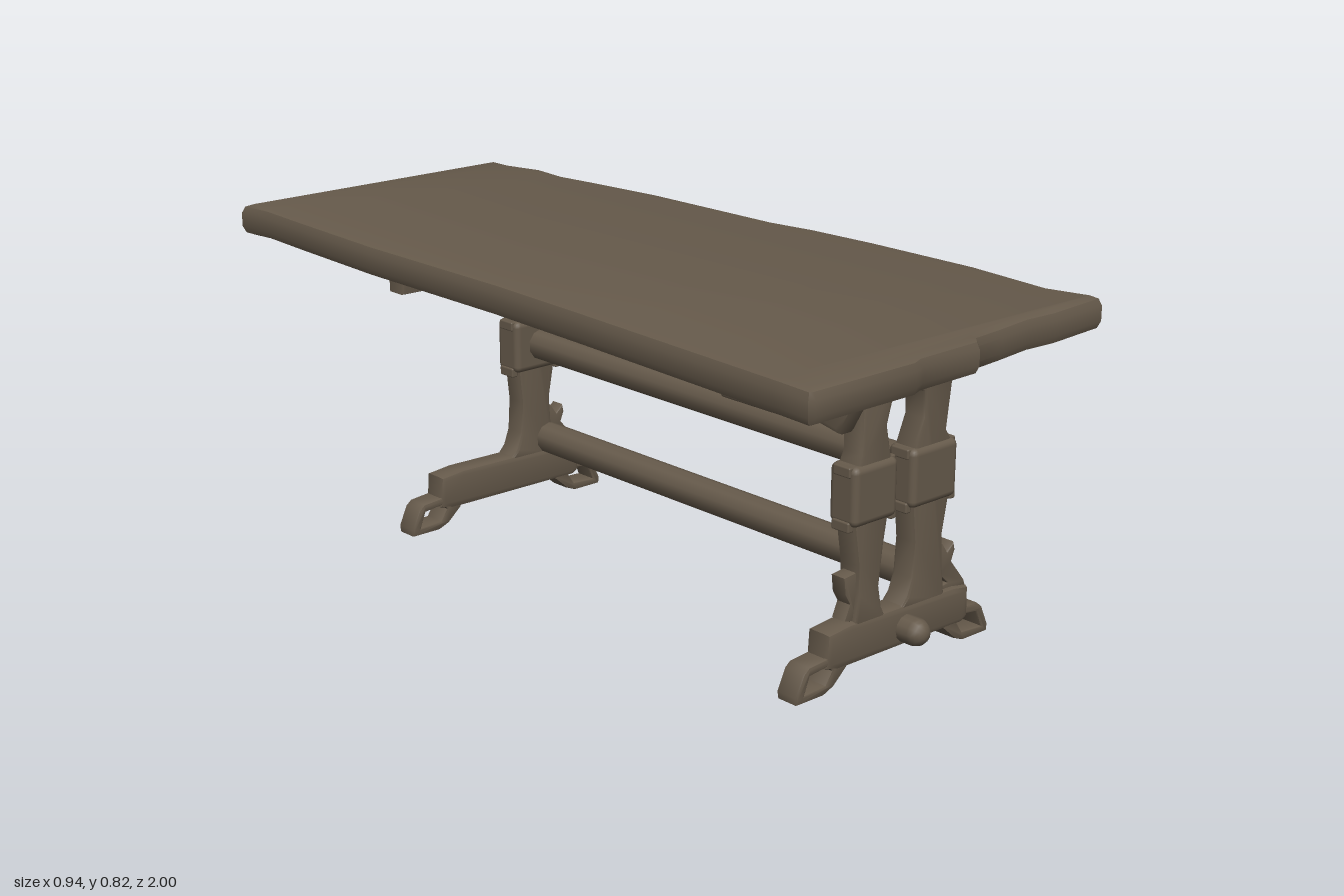
import * as THREE from 'three';
import { toCreasedNormals } from 'three/addons/utils/BufferGeometryUtils.js';
import { RoundedBoxGeometry } from 'three/addons/geometries/RoundedBoxGeometry.js';

const wood = new THREE.MeshStandardMaterial({ color: 0x665a4b });
wood.name = 'weathered wood';

function add(parent, name, geometry, x = 0, y = 0, z = 0) {
  const mesh = new THREE.Mesh(geometry, wood);
  mesh.name = name;
  mesh.position.set(x, y, z);
  parent.add(mesh);
  return mesh;
}

const toPoints = (pts) => pts.map(([x, y]) => new THREE.Vector2(x, y));

// Plank cut from an outline, with softened edges, centred on z = 0
function plank(outline, depth, bevel, holes = []) {
  const shape = new THREE.Shape(toPoints(outline));
  for (const h of holes) shape.holes.push(new THREE.Path(toPoints(h)));
  const g = new THREE.ExtrudeGeometry(shape, {
    depth: depth - 2 * bevel, bevelEnabled: true, bevelThickness: bevel,
    bevelSize: bevel, bevelOffset: -bevel, bevelSegments: 2,
  });
  g.translate(0, 0, bevel - depth / 2);
  return toCreasedNormals(g, 0.7);
}

const mirrorX = (pts, cx) => pts.map(([x, y]) => [2 * cx - x, y]).reverse();

// Front view outlines of the trestle parts
const slimLeg = [
  [-0.02, 0.12], [0.085, 0.12], [0.065, 0.16], [0.055, 0.21], [0.065, 0.3], [0.075, 0.36],
  [0.08, 0.5], [0.065, 0.57], [0.085, 0.64], [0.09, 0.7], [-0.01, 0.7], [-0.01, 0.52],
  [-0.02, 0.5], [-0.025, 0.36], [-0.01, 0.27], [-0.01, 0.2],
];
const wideLeg = [
  [0.11, 0.12], [0.27, 0.12], [0.26, 0.2], [0.255, 0.28], [0.27, 0.36], [0.275, 0.49],
  [0.255, 0.52], [0.27, 0.64], [0.28, 0.7], [0.14, 0.7], [0.155, 0.65], [0.178, 0.62],
  [0.18, 0.56], [0.155, 0.5], [0.155, 0.37], [0.165, 0.28], [0.16, 0.2], [0.145, 0.16],
];
const brace = [
  [0.24, 0.13], [0.35, 0.13], [0.345, 0.145], [0.3, 0.2], [0.31, 0.225], [0.305, 0.245],
  [0.285, 0.225], [0.268, 0.25], [0.24, 0.255],
];
const braceHole = [[0.263, 0.148], [0.263, 0.175], [0.288, 0.152]];
const spur = [[0.0, 0.14], [0.0, 0.255], [-0.045, 0.25], [-0.04, 0.21], [-0.025, 0.185], [-0.04, 0.15]];
const foot = [
  [0.27, 0.05], [0.31, 0.015], [0.34, 0.003], [0.42, 0.003], [0.422, 0.02], [0.4, 0.068],
  [0.385, 0.08], [0.33, 0.085], [0.28, 0.085],
];
const footHole = [[0.315, 0.053], [0.335, 0.024], [0.398, 0.021], [0.382, 0.06], [0.33, 0.066]];
const frontBar = [
  [-0.26, 0.675], [-0.245, 0.658], [-0.2, 0.655], [-0.05, 0.668], [0, 0.64], [0.08, 0.645],
  [0.1, 0.668], [0.15, 0.665], [0.17, 0.64], [0.31, 0.655], [0.35, 0.64], [0.37, 0.645],
  [0.382, 0.68], [0.375, 0.735], [-0.2, 0.745], [-0.23, 0.712], [-0.26, 0.71],
];

function leg(parent, outline, left, right) {
  add(parent, 'leg', plank(outline, 0.06, 0.008));
  const cx = (left + right) / 2;
  add(parent, 'legCollar', new RoundedBoxGeometry(right - left, 0.135, 0.08, 2, 0.016), cx, 0.43, 0);
  // Small lugs at the collar corners
  for (const [x, y] of [[left + 0.005, 0.485], [right - 0.005, 0.485], [left + 0.005, 0.363], [right + 0.002, 0.363]])
    add(parent, 'collarLug', new RoundedBoxGeometry(0.018, 0.024, 0.05, 1, 0.004), x, y, 0);
}

// Shared base: foot beam, looped feet, peg, brace and the wide leg
function trestle(name, z, turned) {
  const g = new THREE.Group();
  g.name = name;
  g.position.z = z;
  add(g, 'footBeam', plank([[-0.105, 0.06], [-0.07, 0.05], [0.33, 0.048], [0.35, 0.06],
    [0.348, 0.132], [0.3, 0.14], [-0.03, 0.145], [-0.1, 0.138]], 0.066, 0.012));
  add(g, 'leftFoot', plank(foot, 0.06, 0.005, [footHole]));
  add(g, 'rightFoot', plank(mirrorX(foot, 0.115), 0.06, 0.005, [mirrorX(footHole, 0.115)]));
  add(g, 'brace', plank(brace, 0.04, 0.004, [braceHole]));
  leg(g, wideLeg, 0.14, 0.285);
  // Rounded peg through the foot beam
  const side = turned ? -1 : 1;
  const peg = add(g, 'peg', new THREE.CapsuleGeometry(0.032, 0.05, 5, 12), 0.14, 0.09, side * 0.038);
  peg.rotation.x = Math.PI / 2;
  return g;
}

export function createModel() {
  const table = new THREE.Group();
  table.name = 'trestleTable';

  // Live-edge tabletop, drawn as x and z and laid flat
  const edge = [
    [-0.41, -1], [-0.4, -0.91], [-0.41, -0.75], [-0.425, -0.45], [-0.425, 0], [-0.437, 0.3],
    [-0.455, 0.65], [-0.468, 0.9], [-0.475, 0.995], [-0.46, 1], [-0.18, 1], [-0.15, 0.988],
    [0.02, 0.985], [0.04, 0.965], [0.12, 0.958], [0.22, 0.946], [0.3, 0.952], [0.465, 0.94],
    [0.47, 0.92], [0.445, 0.82], [0.467, 0.6], [0.465, 0.3], [0.455, 0.12], [0.437, 0],
    [0.43, -0.4], [0.41, -0.6], [0.395, -0.72], [0.405, -0.82], [0.38, -0.92], [0.38, -1],
  ];
  const top = plank(edge.map(([x, z]) => [x, -z]).reverse(), 0.077, 0.022);
  top.rotateX(-Math.PI / 2);
  add(table, 'tabletop', top, 0, 0.7865, 0);

  // Splintered wedge hanging under the front edge
  const wedge = plank([[0.97, 0.76], [0.96, 0.735], [0.935, 0.69], [0.82, 0.712], [0.7, 0.74], [0.7, 0.76]]
    .map(([z, y]) => [-z, y]), 0.05, 0.012);
  wedge.rotateY(Math.PI / 2);
  add(table, 'underWedge', wedge, -0.305, 0, 0);
  add(table, 'underBatten', new RoundedBoxGeometry(0.24, 0.03, 0.24, 1, 0.01), -0.3, 0.746, 0.82);

  // Front trestle has a second, slimmer leg
  const front = trestle('frontTrestle', 0.68, false);
  leg(front, slimLeg, -0.04, 0.095);
  add(front, 'spur', plank(spur, 0.04, 0.004));
  add(front, 'topBar', plank(frontBar, 0.062, 0.01));
  const innerPeg = add(front, 'innerPeg', new THREE.CapsuleGeometry(0.022, 0.06, 4, 10), 0.14, 0.1, -0.045);
  innerPeg.rotation.x = Math.PI / 2;
  table.add(front);

  // Back trestle stands on a single leg
  const back = trestle('backTrestle', -0.66, true);
  add(back, 'topBar', plank([[-0.2, 0.63], [0.28, 0.622], [0.31, 0.622], [0.315, 0.65],
    [0.38, 0.66], [0.385, 0.74], [-0.2, 0.75]], 0.062, 0.008));
  add(back, 'barEnd', new RoundedBoxGeometry(0.07, 0.06, 0.055, 2, 0.012), 0.385, 0.71, -0.01);
  table.add(back);

  // Long stretchers joining the trestles
  const stretchers = [['upperStretcher', 0.33, 0.712, 0.045], ['middleStretcher', 0.22, 0.43, 0.04],
    ['lowerStretcher', 0.25, 0.17, 0.04]];
  for (const [name, x, y, r] of stretchers) {
    const rail = add(table, name, new THREE.CylinderGeometry(r, r, 1.32, 10), x, y, 0.01);
    rail.rotation.x = Math.PI / 2;
  }

  // Two small rings on the lower stretcher
  for (const z of [-0.035, -0.1]) {
    const ring = add(table, 'ring', new THREE.TorusGeometry(0.017, 0.006, 6, 12), 0.29, 0.148, z);
    ring.rotation.y = Math.PI / 2;
  }
  return table;
}
